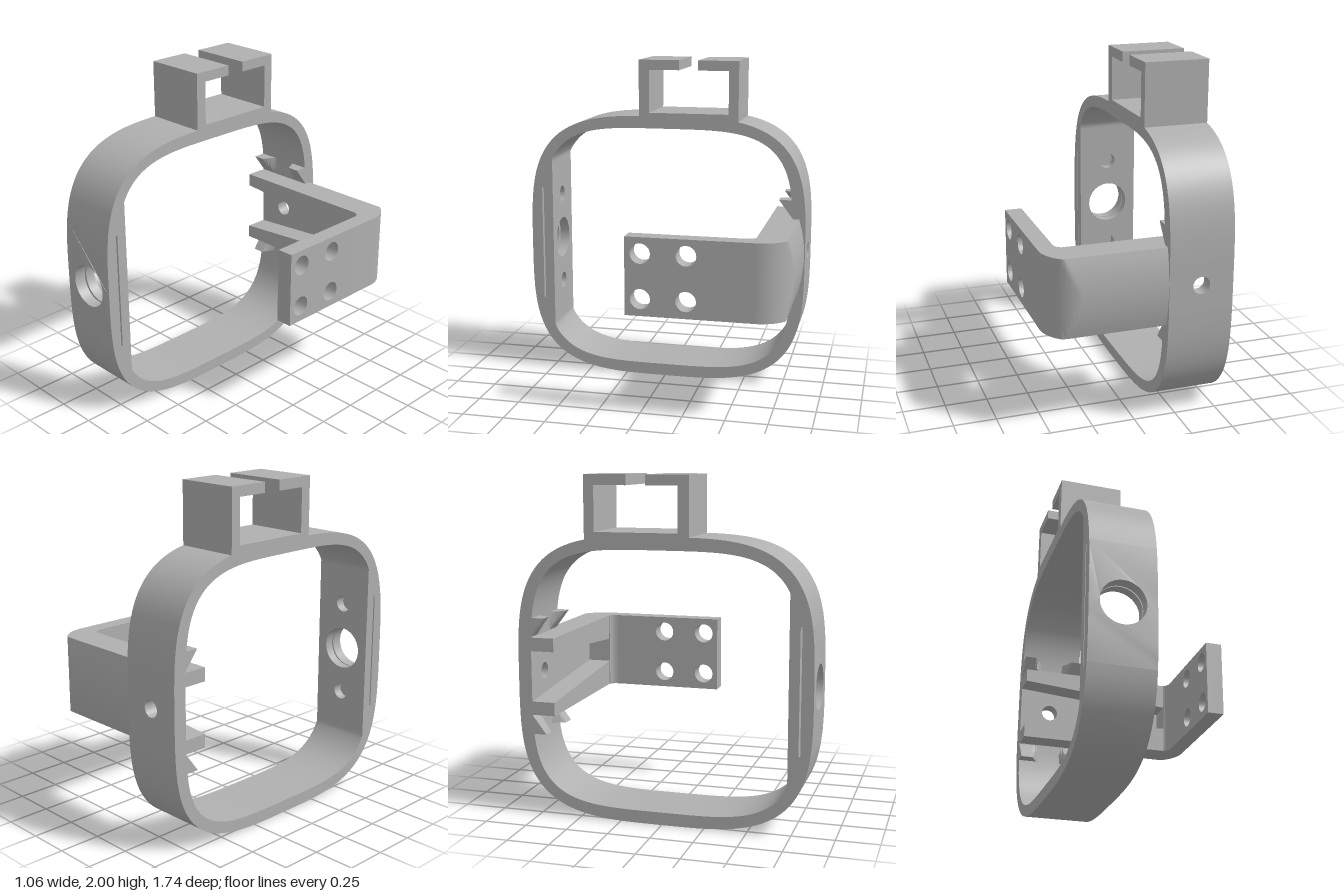
import * as THREE from 'three';
import { toCreasedNormals } from 'three/addons/utils/BufferGeometryUtils.js';

const CY = 0.83;                 // height of the ring centre
const X0 = -0.53, X1 = -0.15;    // ring width
const XM = (X0 + X1) / 2;
const FRONT = 0.36, BACK = 0.16; // half heights of the drilled wall panels
const OUTER = [0.87, 0.83, 3.5], INNER = [0.79, 0.755, 4];

export function createModel() {
  const model = new THREE.Group();
  const grey = new THREE.MeshStandardMaterial({ color: 0xb0b0b0 });
  grey.name = 'grey plastic';

  const add = (name, geometry) => {
    const mesh = new THREE.Mesh(toCreasedNormals(geometry, 0.5), grey);
    mesh.name = name;
    model.add(mesh);
  };
  const polygon = (pts) => new THREE.Shape(pts.map(([x, y]) => new THREE.Vector2(x, y)));
  const extrude = (shape, depth, steps = 1) =>
    new THREE.ExtrudeGeometry(shape, { depth, steps, bevelEnabled: false, curveSegments: 32 });
  // outline in (z, y), swept along x
  const alongX = (shape, from, to, steps) =>
    extrude(shape, to - from, steps).rotateY(-Math.PI / 2).translate(to, 0, 0);
  const moveZ = (geometry, rule) => {
    const p = geometry.attributes.position;
    for (let i = 0; i < p.count; i++) p.setZ(i, rule(p.getX(i), p.getY(i), p.getZ(i)));
    return geometry;
  };
  const drill = (shape, x, y, r) => {
    shape.holes.push(new THREE.Path().absarc(x, y, r, 0, Math.PI * 2, true));
    return shape;
  };

  // Rounded-square curve, from the front panel over the top to the back panel
  const arch = ([a, b, n]) => {
    const t0 = Math.asin((FRONT / b) ** (n / 2));
    const t1 = Math.PI - Math.asin((BACK / b) ** (n / 2));
    return Array.from({ length: 65 }, (_, i) => {
      const t = t0 + (t1 - t0) * i / 64, c = Math.cos(t);
      return [a * Math.sign(c) * Math.abs(c) ** (2 / n), b * Math.sin(t) ** (2 / n)];
    });
  };
  const outerZ = (y) => OUTER[0] * (1 - Math.abs((y - CY) / OUTER[1]) ** OUTER[2]) ** (1 / OUTER[2]);

  // Upper and lower halves of the ring, with a thick flat front wall
  const outline = [...arch(OUTER), ...arch(INNER).reverse().map(([z, y]) => [Math.min(z, 0.73), y])];
  outline.push([0.73, FRONT]);
  for (const s of [1, -1])
    add(s > 0 ? 'ringTop' : 'ringBottom', alongX(polygon(outline.map(([z, y]) => [z, CY + s * y])), X0, X1));

  // Wall panels in (x, y), with points along the sides to follow the curve
  const panel = (half) => {
    const side = Array.from({ length: 13 }, (_, i) => CY - half + half * i / 6);
    return polygon([...side.map((y) => [X1, y]), ...[...side].reverse().map((y) => [X0, y])]);
  };
  const outerWall = extrude(drill(panel(FRONT), XM, CY, 0.13), 0.068).translate(0, 0, 0.8);
  add('frontOuterWall', moveZ(outerWall, (x, y, z) => (z > 0.83 ? outerZ(y) : z)));

  const innerShape = drill(panel(FRONT), XM, CY, 0.13);
  for (const s of [1, -1]) drill(innerShape, XM, CY + s * 0.29, 0.05);
  add('frontInnerWall', extrude(innerShape, 0.06).translate(0, 0, 0.73));

  const backWall = extrude(drill(panel(BACK), XM, CY, 0.05), 0.08).translate(0, 0, -0.87);
  add('backWall', moveZ(backWall, (x, y, z) => (z < -0.83 ? -outerZ(y) : z)));

  // Open-topped clip on the ring
  add('topClip', alongX(polygon([
    [0.165, 1.61], [0.165, 2], [-0.085, 2], [-0.085, 1.94], [0.1, 1.94], [0.1, 1.68],
    [-0.39, 1.68], [-0.39, 1.94], [-0.2, 1.94], [-0.2, 2], [-0.45, 2], [-0.45, 1.61],
  ]), X0, X1));

  // Side arm and its bend, swept upward; the back is gently rounded
  const arm = new THREE.Shape();
  arm.moveTo(-0.16, 0.79);
  arm.lineTo(0.4, 0.79);
  arm.lineTo(0.4, 0.645);
  arm.quadraticCurveTo(0.43, 0.635, 0.43, 0.59);
  arm.lineTo(0.43, 0.4);
  arm.lineTo(0.53, 0.4);
  arm.lineTo(0.53, 0.665);
  arm.absarc(0.33, 0.665, 0.2, 0, Math.PI / 2, false);
  arm.lineTo(-0.16, 0.865);
  const armGeometry = extrude(arm, 0.46, 12).rotateX(-Math.PI / 2).translate(0, 0.6, 0);
  add('sideArm', moveZ(armGeometry, (x, y, z) => Math.max(z, -0.865 + 0.035 * ((y - CY) / 0.23) ** 2)));

  // Mounting plate with four screw holes
  const plate = polygon([[-0.4, 0.6], [0.08, 0.6], [0.08, 1.06], [-0.4, 1.06]]);
  for (const z of [-0.01, -0.275]) for (const y of [0.7, 0.965]) drill(plate, z, y, 0.059);
  add('mountingPlate', alongX(plate, 0.43, 0.53));

  for (const s of [1, -1]) {
    const label = s > 0 ? 'upper' : 'lower';
    // Tapered rib along the arm, reaching across the ring
    add(label + 'Rib', extrude(polygon(
      [[X0, 0.15], [0.41, 0.073], [0.41, 0.23], [X0, 0.23]].map(([x, y]) => [x, CY + s * y]),
    ), 0.17).translate(0, 0, -0.82));
    // Hooked teeth with a round valley between them
    const tooth = alongX(polygon(
      [[-0.705, 0.345], [-0.82, 0.345], [-0.83, 0.2], [-0.8, 0.22], [-0.75, 0.285]].map(([z, y]) => [z, CY + s * y]),
    ), X0, X1, 32);
    add(label + 'Teeth', moveZ(tooth, (x, y, z) => {
      const d = 0.11 ** 2 - (x - XM) ** 2;
      return d > 0 ? Math.min(z, -0.7 - Math.sqrt(d)) : z;
    }));
  }
  return model;
}
